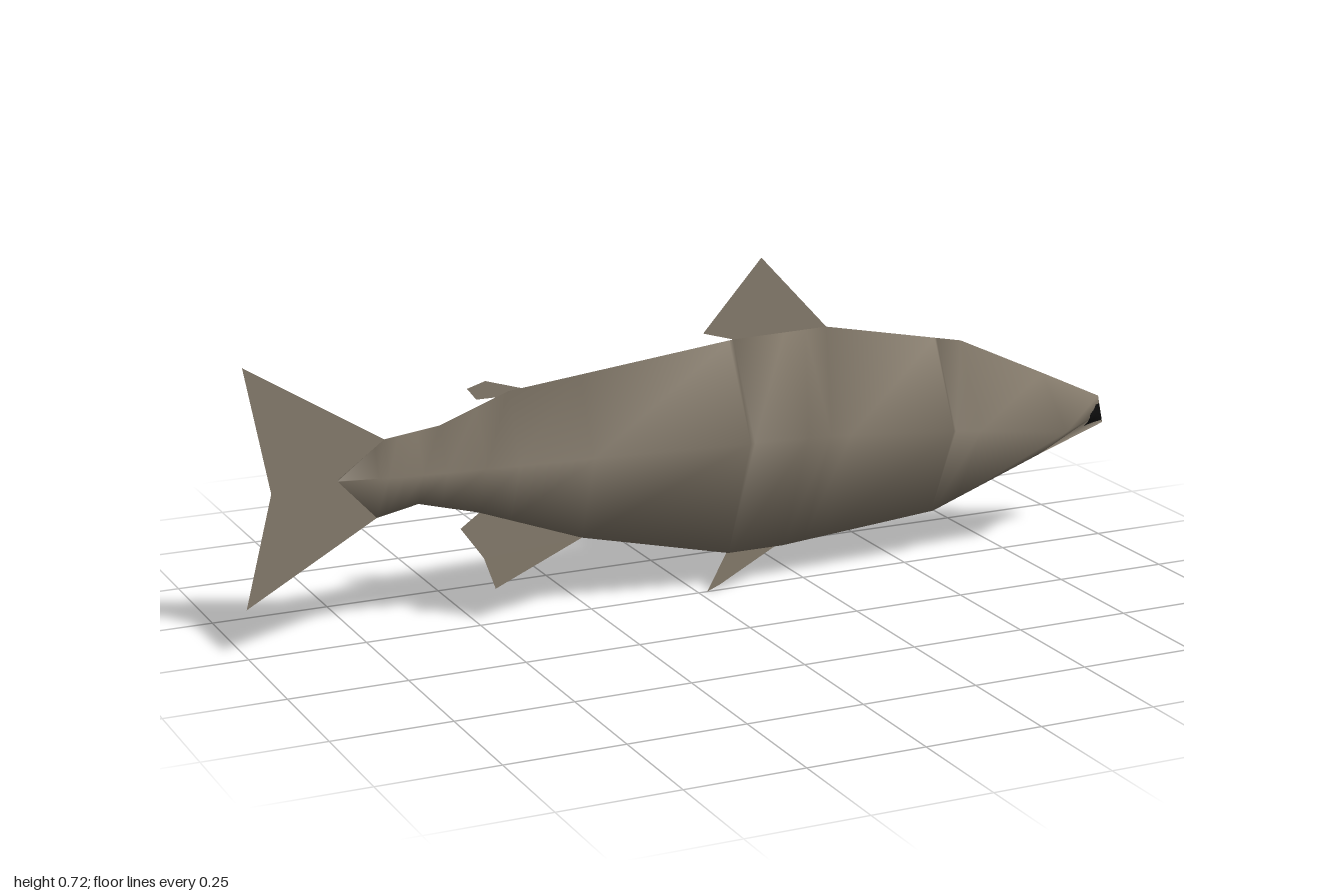
import * as THREE from 'three';

// Outline curves along the body, as [x, value] points
const BACK = [[-0.8, 0.352], [-0.7, 0.425], [-0.58, 0.44], [-0.43, 0.495], [0.08, 0.55], [0.3, 0.555], [0.63, 0.49], [0.99, 0.325]];
const BELLY = [[-0.8, 0.348], [-0.72, 0.262], [-0.63, 0.28], [-0.5, 0.245], [-0.27, 0.16], [0.07, 0.08], [0.2, 0.08], [0.57, 0.11], [0.99, 0.262]];
const FLANK = [[-0.8, 0.35], [0.25, 0.35], [0.84, 0.285], [0.99, 0.285]];
const WIDTH = [[-0.8, 0.001], [-0.67, 0.031], [0.25, 0.125], [0.565, 0.093], [0.84, 0.109], [0.99, 0.001]];

function sample(curve, x) {
  for (let i = 1; i < curve.length; i++) {
    const [x0, a] = curve[i - 1], [x1, b] = curve[i];
    if (x <= x1) return a + (b - a) * Math.max(0, (x - x0) / (x1 - x0));
  }
  return curve[curve.length - 1][1];
}

function surface(positions, indices) {
  const g = new THREE.BufferGeometry();
  g.setAttribute('position', new THREE.Float32BufferAttribute(positions, 3));
  g.setIndex(indices);
  g.computeVertexNormals();
  return g;
}

// Diamond cross-sections joined into one smooth skin
function bodyGeometry() {
  const xs = [...new Set([BACK, BELLY, FLANK, WIDTH].flat().map(p => p[0]))].sort((a, b) => a - b);
  const pos = [], idx = [];
  xs.forEach((x, i) => {
    const nose = i === xs.length - 1 ? 1 : 0;
    const w = sample(WIDTH, x), m = sample(FLANK, x);
    pos.push(x - 0.003 * nose, sample(BACK, x), 0, x, m, w,
      x + 0.01 * nose, sample(BELLY, x), 0, x, m, -w);
    if (i === 0) return;
    for (let k = 0; k < 4; k++) {
      const a = (i - 1) * 4 + k, b = (i - 1) * 4 + (k + 1) % 4;
      idx.push(a, b, a + 4, b, b + 4, a + 4);
    }
  });
  const n = (xs.length - 1) * 4;
  idx.push(0, 2, 1, 0, 3, 2, n, n + 1, n + 2, n, n + 2, n + 3);
  return surface(pos, idx);
}

// Half thickness of the body at a point of its side view
function halfWidth(x, y) {
  const m = sample(FLANK, x);
  const edge = y > m ? sample(BACK, x) : sample(BELLY, x);
  return sample(WIDTH, x) * Math.max(0, 1 - (y - m) / (edge - m));
}

// Mouth patch hugging one side of the snout
function mouthGeometry(side) {
  const pos = [], idx = [], nx = 4, ny = 4;
  for (let j = 0; j <= ny; j++) {
    const t = j / ny, y = 0.268 + 0.04 * t;
    const x0 = 0.935 + 0.022 * t, x1 = 0.999 - 0.009 * t;
    for (let i = 0; i <= nx; i++) {
      const x = x0 + (x1 - x0) * i / nx;
      pos.push(x, y, i === nx ? 0 : side * (halfWidth(x, y) + 0.004));
      if (i < nx && j < ny) {
        const a = j * (nx + 1) + i, b = a + nx + 1;
        idx.push(a, a + 1, b, a + 1, b + 1, b);
      }
    }
  }
  return surface(pos, idx);
}

// Flat fins lying in the middle plane
const FINS = {
  tailFin: [[-0.99, 0.605], [-0.7, 0.425], [-0.68, 0.34], [-0.72, 0.262], [-1, 0.105], [-0.94, 0.34]],
  dorsalFin: [[0.01, 0.57], [0.145, 0.72], [0.3, 0.555], [0.2, 0.53], [0.08, 0.55]],
  adiposeFin: [[-0.52, 0.51], [-0.48, 0.522], [-0.39, 0.495], [-0.43, 0.485], [-0.5, 0.485]],
  analFin: [[-0.54, 0.215], [-0.49, 0.25], [-0.4, 0.23], [-0.27, 0.16], [-0.465, 0.075], [-0.49, 0.145]],
  pelvicFin: [[0.02, 0], [0.07, 0.09], [0.19, 0.085], [0.05, 0.012]],
};

export function createModel() {
  const skin = new THREE.MeshStandardMaterial({ color: 0x83796a });
  skin.name = 'skin';
  const fin = new THREE.MeshStandardMaterial({ color: 0x83796a, side: THREE.DoubleSide });
  fin.name = 'fin';
  const black = new THREE.MeshStandardMaterial({ color: 0x0c0c0c, side: THREE.DoubleSide });
  black.name = 'mouthBlack';

  const fish = new THREE.Group();
  fish.name = 'fish';
  const add = (name, geometry, material) => {
    const mesh = new THREE.Mesh(geometry, material);
    mesh.name = name;
    fish.add(mesh);
  };

  add('body', bodyGeometry(), skin);
  for (const [name, points] of Object.entries(FINS)) {
    const shape = new THREE.Shape(points.map(([x, y]) => new THREE.Vector2(x, y)));
    add(name, new THREE.ShapeGeometry(shape), fin);
  }
  add('mouthLeft', mouthGeometry(1), black);
  add('mouthRight', mouthGeometry(-1), black);
  return fish;
}
